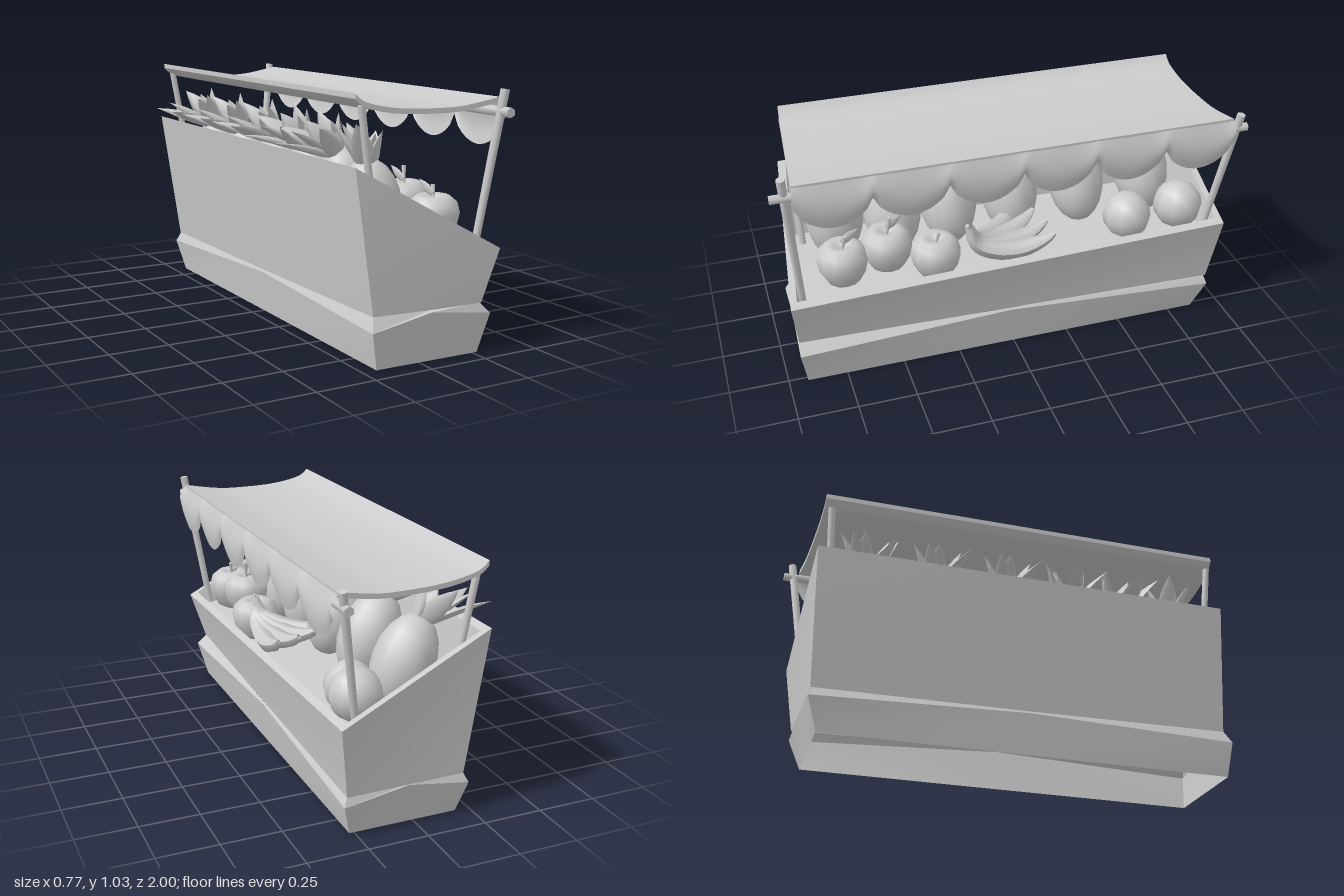
import * as THREE from 'three';
import { toCreasedNormals } from 'three/addons/utils/BufferGeometryUtils.js';

const mat = new THREE.MeshStandardMaterial({ color: 0xcccccc, side: THREE.DoubleSide });
const V = (x, y, z) => new THREE.Vector3(x, y, z);

function add(parent, name, geo) {
  const m = new THREE.Mesh(geo, mat);
  m.name = name;
  parent.add(m);
  return m;
}

// Joins rings of corners into walls; a four-cornered last ring can be closed
function ringShell(rings, cap) {
  const p = [];
  const quad = (a, b, c, d) => p.push(...a, ...b, ...c, ...a, ...c, ...d);
  for (let r = 0; r + 1 < rings.length; r++) {
    const n = rings[r].length;
    for (let i = 0; i < n; i++) {
      const j = (i + 1) % n;
      quad(rings[r][i], rings[r][j], rings[r + 1][j], rings[r + 1][i]);
    }
  }
  if (cap) quad(...rings[rings.length - 1]);
  const g = new THREE.BufferGeometry();
  g.setAttribute('position', new THREE.Float32BufferAttribute(p, 3));
  return toCreasedNormals(g, 0.35);
}

// Straight pole between two points
function pole(parent, name, a, b, r0, r1 = r0, sides = 8) {
  const m = add(parent, name, new THREE.CylinderGeometry(r1, r0, a.distanceTo(b), sides));
  m.position.copy(a).lerp(b, 0.5);
  m.quaternion.setFromUnitVectors(V(0, 1, 0), b.clone().sub(a).normalize());
  return m;
}

function lathe(points, sides) {
  return new THREE.LatheGeometry(points.map(([x, y]) => new THREE.Vector2(x, y)), sides);
}

// Pointed leaf growing up from the origin, cupped and bent outward along +x
function leafGeometry(length, width, bend) {
  const g = new THREE.CylinderGeometry(0.001, 1, 1, 6, 5);
  const p = g.attributes.position;
  for (let i = 0; i < p.count; i++) {
    const t = p.getY(i) + 0.5;
    const w = t > 0.99 ? 0 : Math.sin(Math.PI * (0.22 + 0.78 * t)) * width;
    const a = Math.atan2(p.getZ(i), p.getX(i));
    const radial = Math.hypot(p.getX(i), p.getZ(i)) < 1e-4 ? 0 : w;
    p.setXYZ(i, Math.cos(a) * radial * 0.35 + bend * t * t, t * length, Math.sin(a) * radial);
  }
  g.computeVertexNormals();
  return g;
}

function pineapple(parent, pos, tilt, crownTilt, spread, turn, leafLength) {
  const g = new THREE.Group();
  g.name = 'pineapple';
  const body = add(g, 'pineappleBody', new THREE.SphereGeometry(1, 14, 10));
  body.scale.set(0.125, 0.195, 0.125);
  const crown = new THREE.Group();
  crown.name = 'pineappleCrown';
  crown.position.y = 0.165;
  crown.rotation.z = crownTilt;
  g.add(crown);
  // Outer then inner ring of leaves, longest toward the back
  for (const [n, s, scale, off] of [[5, spread, 1, 0], [3, spread * 0.35, 0.85, 0.6]]) {
    for (let i = 0; i < n; i++) {
      const arm = new THREE.Group();
      const angle = turn + off + (i / n) * Math.PI * 2;
      arm.rotation.y = angle;
      const length = leafLength * scale * (1 - 0.3 * Math.cos(angle));
      const leaf = add(arm, 'pineappleLeaf', leafGeometry(length, 0.042, 0.03));
      leaf.position.x = 0.025;
      leaf.rotation.z = -s;
      crown.add(arm);
    }
  }
  g.position.copy(pos);
  g.rotation.z = tilt;
  parent.add(g);
}

function apple(parent, pos, r, stemHeight, leafy) {
  const g = new THREE.Group();
  g.name = 'apple';
  add(g, 'appleBody', lathe([[0, -0.8], [0.3, -0.88], [0.65, -0.7], [0.9, -0.25], [1, 0.2],
    [0.9, 0.6], [0.6, 0.85], [0.3, 0.82], [0, 0.6]].map(([x, y]) => [x * r, y * r]), 12));
  pole(g, 'appleStem', V(0, r * 0.55, 0), V(0.01, r * 0.85 + stemHeight, -0.015), 0.006, 0.009, 6);
  if (leafy) {
    const leaf = add(g, 'appleLeaf', leafGeometry(0.09, 0.02, 0.015));
    leaf.position.set(0, r * 0.9, 0);
    leaf.rotation.set(-1.0, 0, 0.3);
  }
  g.position.copy(pos);
  parent.add(g);
}

// Curved tube whose radius tapers at stem and tip
function bananaGeometry() {
  const curve = new THREE.CatmullRomCurve3([V(0, 0, 0), V(0, -0.07, -0.03), V(0, -0.11, -0.12),
    V(0, -0.115, -0.23), V(0, -0.085, -0.33), V(0, -0.06, -0.37)]);
  const seg = 14, sides = 6;
  const g = new THREE.TubeGeometry(curve, seg, 1, sides);
  const p = g.attributes.position;
  for (let i = 0; i < p.count; i++) {
    const t = Math.floor(i / (sides + 1)) / seg;
    const c = curve.getPointAt(t);
    const r = 0.008 + 0.034 * Math.pow(Math.sin(Math.PI * Math.min(1, 0.04 + t * 0.95)), 0.7);
    const v = V().fromBufferAttribute(p, i).sub(c).multiplyScalar(r).add(c);
    p.setXYZ(i, v.x, v.y, v.z);
  }
  g.computeVertexNormals();
  return g;
}

export function createModel() {
  const stand = new THREE.Group();
  stand.name = 'fruitStand';

  // Plinth, open underneath; corners flare out, mid-sides meet the bin
  add(stand, 'plinth', ringShell([
    [[-0.19, 0, 0.91], [0.04, 0, 0.915], [0.27, 0, 0.92], [0.27, 0, 0.03],
      [0.27, 0, -0.865], [0.04, 0, -0.865], [-0.19, 0, -0.865], [-0.19, 0, 0.02]],
    [[-0.22, 0.15, 0.93], [0.04, 0.197, 0.935], [0.312, 0.16, 0.945], [0.292, 0.184, 0.02],
      [0.312, 0.14, -0.915], [0.04, 0.178, -0.905], [-0.22, 0.14, -0.91], [-0.205, 0.18, 0.01]],
    [[-0.2, 0.205, 0.9], [0.04, 0.203, 0.92], [0.27, 0.205, 0.93], [0.285, 0.192, 0.02],
      [0.295, 0.182, -0.9], [0.04, 0.182, -0.9], [-0.2, 0.182, -0.895], [-0.2, 0.19, 0.01]],
  ], false));

  // Sloping bin: outer wall, rim, inner wall, floor
  add(stand, 'bin', ringShell([
    [[-0.2, 0.2, 0.9], [0.27, 0.205, 0.94], [0.3, 0.18, -0.91], [-0.2, 0.18, -0.9]],
    [[-0.28, 0.77, 0.895], [0.335, 0.42, 0.965], [0.34, 0.475, -0.95], [-0.28, 0.775, -0.925]],
    [[-0.25, 0.755, 0.865], [0.305, 0.437, 0.935], [0.31, 0.49, -0.92], [-0.25, 0.76, -0.895]],
    [[-0.21, 0.43, 0.86], [0.29, 0.38, 0.92], [0.295, 0.4, -0.9], [-0.21, 0.43, -0.88]],
  ], true));

  // Posts and the rail that carries the front of the awning
  pole(stand, 'frontPost', V(0.25, 0.39, 0.905), V(0.347, 1.03, 0.95), 0.015, 0.018);
  pole(stand, 'frontPost', V(0.25, 0.39, -0.885), V(0.347, 1.01, -0.965), 0.015, 0.018);
  pole(stand, 'backPost', V(-0.11, 0.2, 0.83), V(-0.236, 0.99, 0.86), 0.015);
  pole(stand, 'backPost', V(-0.11, 0.2, -0.83), V(-0.236, 0.99, -0.875), 0.015);
  pole(stand, 'awningRail', V(0.338, 0.945, 1), V(0.338, 0.945, -1), 0.02, 0.02, 6);

  // Sagging awning sheet
  const sag = new THREE.SplineCurve([[-0.268, 1.035], [-0.22, 1.0], [-0.09, 0.974], [0.08, 0.967],
    [0.2, 0.972], [0.352, 0.998]].map(([x, y]) => new THREE.Vector2(x, y))).getPoints(16);
  const under = sag.map((p) => new THREE.Vector2(p.x, p.y - 0.02)).reverse();
  const sheet = new THREE.ExtrudeGeometry(new THREE.Shape([...sag, ...under]),
    { depth: 1, bevelEnabled: false, steps: 1 });
  const sp = sheet.attributes.position;
  for (let i = 0; i < sp.count; i++) {
    const t = (sp.getX(i) + 0.268) / 0.62;
    sp.setZ(i, sp.getZ(i) > 0.5 ? 0.87 + 0.045 * t : -0.905 - 0.025 * t);
  }
  add(stand, 'awning', toCreasedNormals(sheet, 0.6));

  // Scalloped valance, bulging outward
  const valance = new THREE.PlaneGeometry(1, 1, 72, 6);
  const vp = valance.attributes.position;
  for (let i = 0; i < vp.count; i++) {
    const u = vp.getX(i) + 0.5, d = 0.5 - vp.getY(i);
    const lobe = Math.pow(Math.abs(Math.sin(u * 6 * Math.PI)), 0.6);
    const x = 0.35 + 0.03 * Math.sin(d * Math.PI * 0.8);
    vp.setXYZ(i, x, 0.993 - d * (0.09 + 0.105 * lobe), 0.918 - u * 1.85);
  }
  valance.computeVertexNormals();
  add(stand, 'valance', valance);

  // Row of pineapples leaning against the back: z, crown turn
  pineapple(stand, V(-0.09, 0.575, 0.7), 0.1, 0.12, 0.25, 0.3, 0.175);
  for (const [z, turn] of [[0.46, 0.75], [0.21, 0.5], [-0.07, 0], [-0.385, 0], [-0.7, 0]]) {
    pineapple(stand, V(-0.03, 0.605, z), 0.4, 0.4, 0.4, turn, 0.22);
  }

  // Apples
  apple(stand, V(0.19, 0.51, 0.72), 0.108, 0.04, true);
  apple(stand, V(0.18, 0.54, 0.53), 0.108, 0.06, true);
  apple(stand, V(0.21, 0.48, 0.33), 0.108, 0.025, false);

  // Banana bunch fanned from one stem
  const bunch = new THREE.Group();
  bunch.name = 'bananaBunch';
  const geo = bananaGeometry();
  for (let i = 0; i < 4; i++) {
    const b = add(bunch, 'banana', geo);
    b.rotation.y = -0.08 + i * 0.26;
    b.position.y = i * 0.008;
  }
  pole(bunch, 'bananaStem', V(0, -0.015, 0), V(0, 0.03, 0.01), 0.014, 0.01, 6);
  bunch.position.set(0.26, 0.605, 0.195);
  stand.add(bunch);

  // Round melons
  for (const [x, y, z] of [[0.14, 0.475, -0.57], [0.21, 0.535, -0.78]]) {
    const m = add(stand, 'melon', new THREE.SphereGeometry(0.108, 10, 8));
    m.position.set(x, y, z);
  }
  return stand;
}
